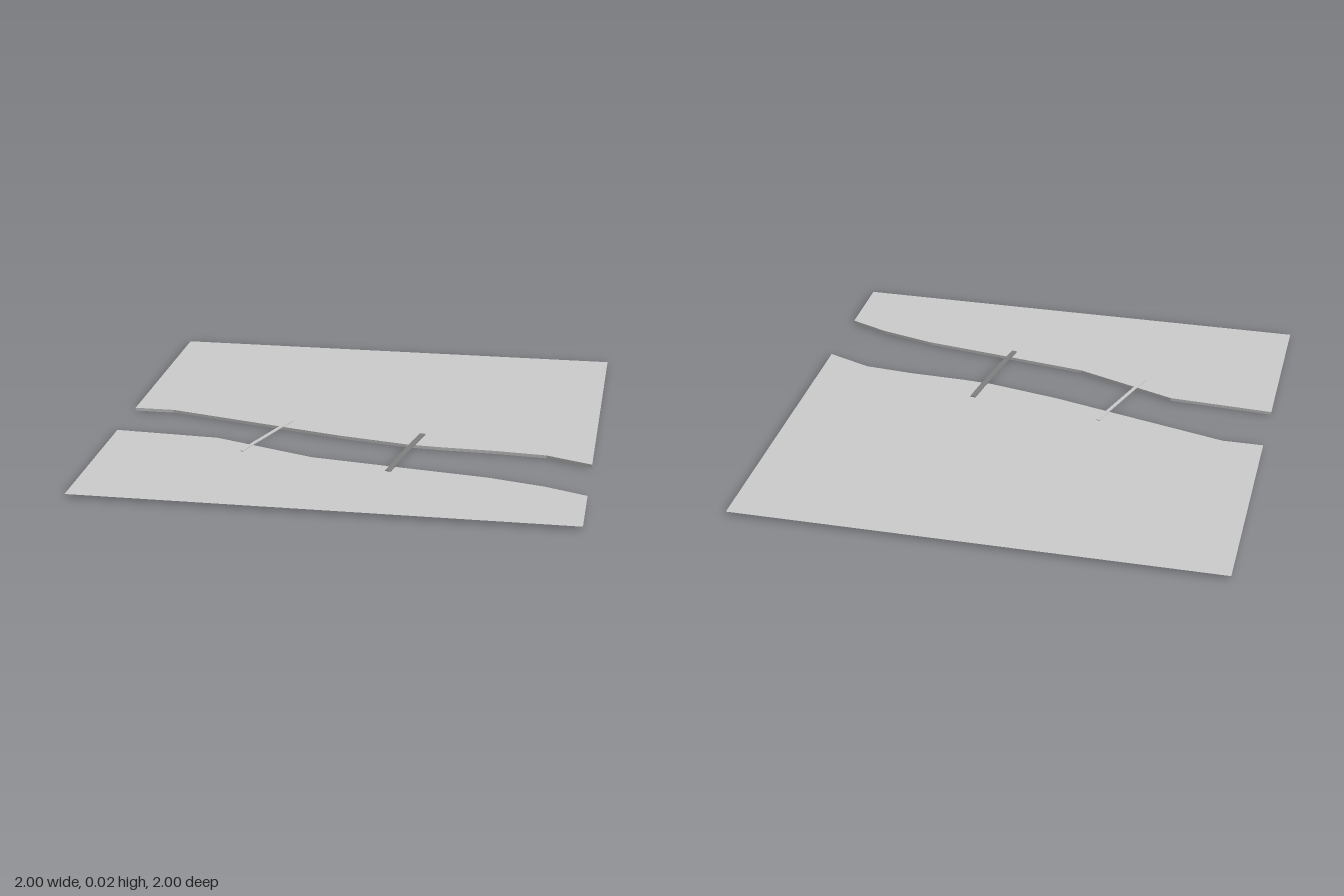
import * as THREE from 'three';

const TOP = 0.013; // height of the ground above the river bed

// River edges as [x, z], from right to left of the model
const BACK_EDGE = [[-1, -0.02], [-0.83, -0.02], [-0.45, 0.08], [-0.07, 0.18], [0.23, 0.24],
  [0.36, 0.25], [0.6, 0.257], [0.81, 0.275], [1, 0.35]];
const FRONT_EDGE = [[-1, 0.265], [-0.56, 0.29], [-0.13, 0.45], [0.2, 0.5], [0.6, 0.56],
  [0.83, 0.62], [1, 0.69]];

const material = (color = 0xcccccc) =>
  new THREE.MeshStandardMaterial({ color, side: THREE.DoubleSide, flatShading: true });

function addMesh(parent, name, geometry, mat) {
  const mesh = new THREE.Mesh(geometry, mat);
  mesh.name = name;
  parent.add(mesh);
  return mesh;
}

// Flat sheet of land from the river edge out to the straight border at z = border
function landGeometry(edge, border) {
  const points = [...edge, [1, border], [-1, border]];
  const shape = new THREE.Shape(points.map(([x, z]) => new THREE.Vector2(x, -z)));
  return new THREE.ShapeGeometry(shape).rotateX(-Math.PI / 2).translate(0, TOP, 0);
}

// Upright strip that drops from the land to the river bed; side = +1 faces +z
function wallGeometry(edge, side) {
  const positions = [];
  const indices = [];
  edge.forEach(([x, z], i) => {
    positions.push(x, 0, z, x, TOP, z);
    if (i === 0) return;
    const a = 2 * i - 2, b = a + 1, c = a + 2, d = a + 3;
    indices.push(...(side > 0 ? [a, c, b, b, c, d] : [a, b, c, b, d, c]));
  });
  const geometry = new THREE.BufferGeometry();
  geometry.setAttribute('position', new THREE.Float32BufferAttribute(positions, 3));
  geometry.setIndex(indices);
  geometry.computeVertexNormals();
  return geometry;
}

function addBank(parent, name, edge, border, side) {
  const bank = new THREE.Group();
  bank.name = name;
  const mat = material();
  addMesh(bank, 'land', landGeometry(edge, border), mat);
  addMesh(bank, 'riverWall', wallGeometry(edge, side), mat);
  parent.add(bank);
}

// Slightly arched deck between two [x, z] points
function addBridge(parent, name, from, to, width, color) {
  const dx = to[0] - from[0], dz = to[1] - from[1];
  const length = Math.hypot(dx, dz);
  const h = length / 2, thick = 0.004, rise = 0.004;
  const profile = [[-h, 0], [-h * 0.55, rise], [h * 0.55, rise], [h, 0]];
  const shape = new THREE.Shape([
    ...profile.map(([x, y]) => new THREE.Vector2(x, y)),
    ...[...profile].reverse().map(([x, y]) => new THREE.Vector2(x, y + thick)),
  ]);
  const geometry = new THREE.ExtrudeGeometry(shape, { depth: width, bevelEnabled: false });
  geometry.translate(0, 0, -width / 2);
  const bridge = addMesh(parent, name, geometry, material(color));
  bridge.position.set((from[0] + to[0]) / 2, TOP - 0.001, (from[1] + to[1]) / 2);
  bridge.rotation.y = Math.atan2(-dz, dx);
}

export function createModel() {
  const model = new THREE.Group();
  model.name = 'riverLand';
  addBank(model, 'backBank', BACK_EDGE, -1, 1);
  addBank(model, 'frontBank', FRONT_EDGE, 1, -1);
  addBridge(model, 'footBridge', [-0.425, 0.43], [-0.29, 0.03], 0.014);
  addBridge(model, 'roadBridge', [0.2, 0.557], [0.28, 0.108], 0.024, 0x808080);
  return model;
}
